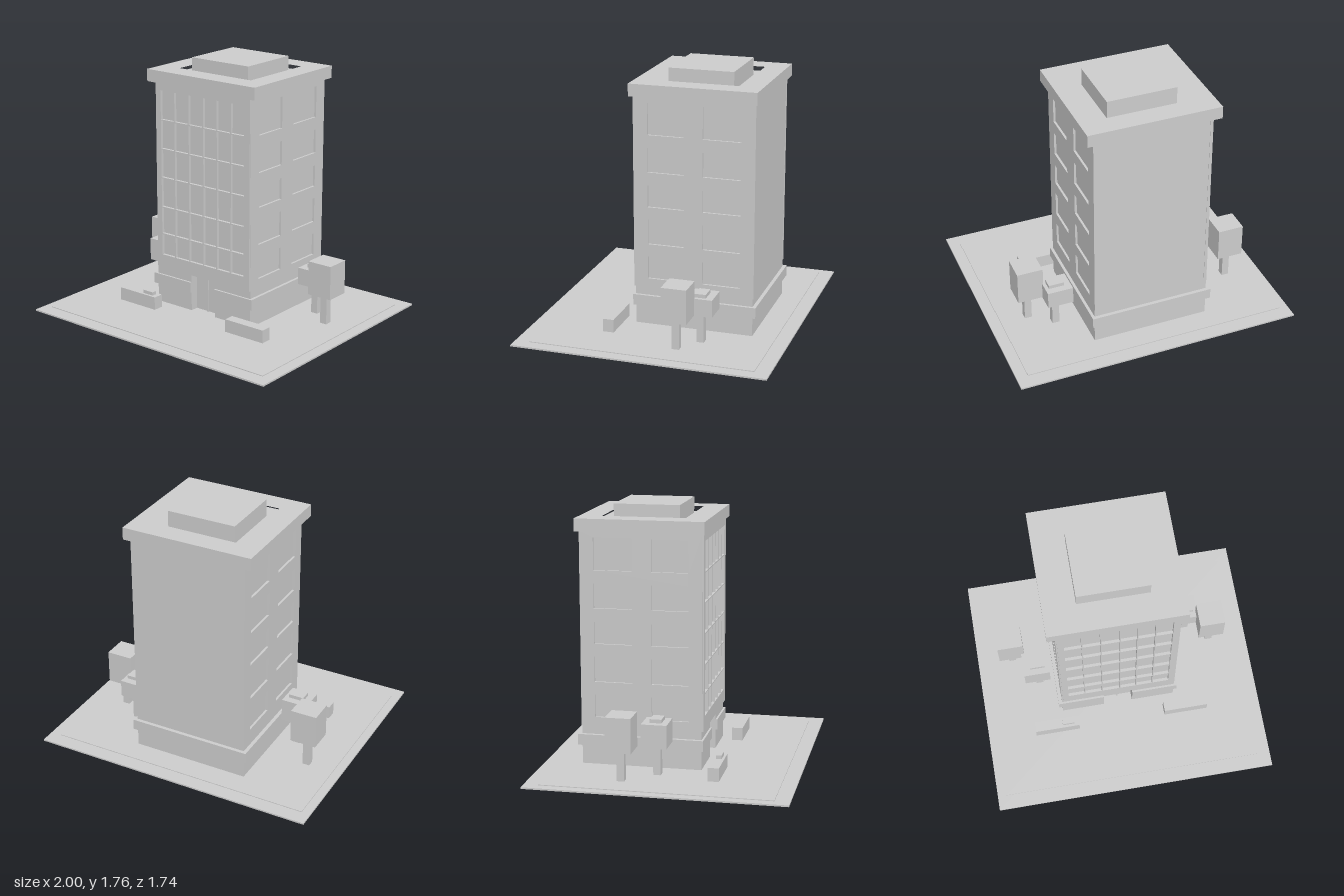
import * as THREE from 'three';

const material = new THREE.MeshStandardMaterial({ color: 0xcccccc, flatShading: true });

function add(parent, name, geometry) {
  const mesh = new THREE.Mesh(geometry, material);
  mesh.name = name;
  parent.add(mesh);
  return mesh;
}

// Box given by its limits on each axis
function block(parent, name, [x0, x1], [y0, y1], [z0, z1]) {
  const geometry = new THREE.BoxGeometry(x1 - x0, y1 - y0, z1 - z0);
  geometry.translate((x0 + x1) / 2, (y0 + y1) / 2, (z0 + z1) / 2);
  return add(parent, name, geometry);
}

const rect = ([u0, u1], [v0, v1]) => [[u0, v0], [u1, v0], [u1, v1], [u0, v1]];

function extrude(outline, holes, depth) {
  const points = (list) => list.map(([u, v]) => new THREE.Vector2(u, v));
  const shape = new THREE.Shape(points(outline));
  for (const hole of holes) shape.holes.push(new THREE.Path(points(hole)));
  return new THREE.ExtrudeGeometry(shape, { depth, bevelEnabled: false });
}

// Floor plan of [x, z] points raised between two heights
function plan(parent, name, outline, holes, [y0, y1]) {
  const flip = (list) => list.map(([x, z]) => [x, -z]);
  const geometry = extrude(flip(outline), holes.map(flip), y1 - y0);
  geometry.rotateX(-Math.PI / 2).translate(0, y0, 0);
  return add(parent, name, geometry);
}

// Rectangular plan with an entrance opening cut into the front
function notchedPlan([x0, x1], [z0, z1], [a, b], depth) {
  return [[x0, z0], [x1, z0], [x1, z1], [b, z1], [b, depth], [a, depth], [a, z1], [x0, z1]];
}

function tree(parent, name, xs, ys, zs, trunkX, trunkZ, cap) {
  const group = new THREE.Group();
  group.name = name;
  block(group, 'trunk', [trunkX - 0.025, trunkX + 0.025], [0.014, ys[0] + 0.01], [trunkZ - 0.025, trunkZ + 0.025]);
  block(group, 'crown', xs, ys, zs);
  if (cap) block(group, 'crownTop', cap[0], [ys[1] - 0.01, ys[1] + 0.025], cap[1]);
  parent.add(group);
}

export function createModel() {
  const model = new THREE.Group();
  model.name = 'officeBuilding';

  // Ground slab with a slightly raised inset plaza
  block(model, 'ground', [-1, 1], [0, 0.011], [-0.87, 0.87]);
  block(model, 'plaza', [-0.94, 0.92], [0.005, 0.016], [-0.77, 0.77]);

  // Ground floor with recessed entrance and the band above it
  const entrance = [-0.13, 0.078];
  plan(model, 'groundFloor', notchedPlan([-0.435, 0.385], [-0.61, 0.208], entrance, 0.15), [], [0.01, 0.28]);
  plan(model, 'canopyBand', notchedPlan([-0.46, 0.405], [-0.635, 0.222], entrance, 0.15), [], [0.15, 0.225]);
  block(model, 'doorPost', [-0.03, -0.02], [0.01, 0.28], [0.14, 0.16]);

  // Tower core, its faces are the glass behind the openings
  block(model, 'core', [-0.42, 0.37], [0.28, 1.61], [-0.612, 0.2]);

  // Front facade: grid of openings between thin mullions
  const columns = [-0.387, -0.265, -0.14, -0.014, 0.103, 0.222, 0.34];
  const rows = [0.373, 0.53, 0.725, 0.937, 1.142, 1.347, 1.558];
  const openings = [];
  for (let c = 0; c < 6; c++) {
    for (let r = 0; r < 6; r++) {
      openings.push(rect([columns[c] + 0.004, columns[c + 1] - 0.004], [rows[r] + 0.004, rows[r + 1] - 0.004]));
    }
  }
  const front = extrude(rect([-0.425, 0.383], [0.28, 1.608]), openings, 0.025);
  add(model, 'frontFacade', front.translate(0, 0, 0.195));

  // Side walls: two columns of five windows each
  const floors = [[0.343, 0.5], [0.587, 0.76], [0.847, 0.997], [1.088, 1.255], [1.343, 1.56]];
  const bays = [[-0.12, 0.13], [0.26, 0.52]];
  const windows = floors.flatMap((floor) => bays.map((bay) => rect(bay, floor)));
  for (const [name, x] of [['leftWall', 0.365], ['rightWall', -0.435]]) {
    const wall = extrude(rect([-0.21, 0.615], [0.28, 1.608]), windows, 0.02);
    add(model, name, wall.rotateY(Math.PI / 2).translate(x, 0, 0));
  }

  // Roof: overhanging parapet around a sunken deck with a plant room
  plan(model, 'parapet', rect([-0.488, 0.43], [-0.633, 0.235]),
    [rect([-0.33, 0.28], [-0.483, 0.08])], [1.605, 1.69]);
  block(model, 'roofDeck', [-0.4, 0.35], [1.6, 1.645], [-0.55, 0.15]);
  block(model, 'plantRoom', [-0.265, 0.217], [1.63, 1.765], [-0.42, 0.027]);

  // Planters at the front
  block(model, 'rightPlanter', [-0.655, -0.335], [0.012, 0.108], [0.29, 0.365]);
  block(model, 'planterShrub', [-0.455, -0.37], [0.1, 0.132], [0.31, 0.347]);
  block(model, 'leftPlanter', [0.295, 0.61], [0.012, 0.106], [0.29, 0.365]);

  // Block trees on both sides
  tree(model, 'tallTreeRight', [-0.835, -0.652], [0.224, 0.46], [-0.35, -0.178], -0.745, -0.265);
  tree(model, 'tallTreeLeft', [0.632, 0.813], [0.224, 0.46], [-0.285, -0.112], 0.725, -0.19);
  tree(model, 'shortTreeRight', [-0.673, -0.49], [0.22, 0.38], [-0.15, 0.022], -0.57, -0.06,
    [[-0.625, -0.52], [-0.1, -0.022]]);
  tree(model, 'shortTreeLeft', [0.46, 0.64], [0.22, 0.34], [-0.405, -0.235], 0.565, -0.31,
    [[0.507, 0.615], [-0.355, -0.28]]);

  return model;
}
